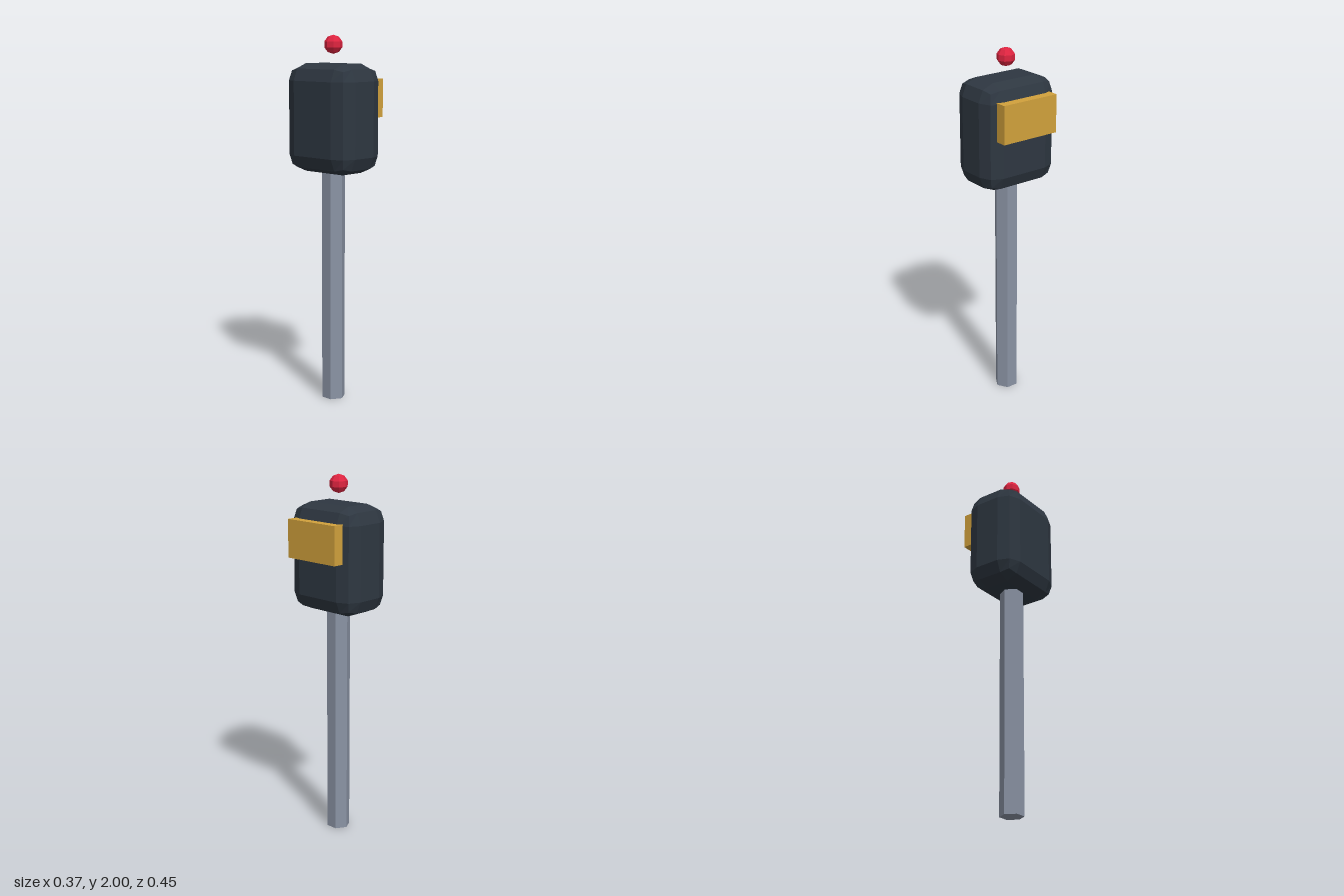
import * as THREE from 'three';
import { RoundedBoxGeometry } from 'three/addons/geometries/RoundedBoxGeometry.js';

const paint = (name, color) => {
  const m = new THREE.MeshStandardMaterial({ color });
  m.name = name;
  return m;
};

// Gives every face its own flat normal
function faceted(geometry) {
  const g = geometry.index ? geometry.toNonIndexed() : geometry;
  g.computeVertexNormals();
  return g;
}

export function createModel() {
  const group = new THREE.Group();
  group.name = 'postBox';
  const axis = -0.024; // the post stands off centre, balancing the side panel

  const add = (name, geometry, material, x, y, z = 0) => {
    const mesh = new THREE.Mesh(faceted(geometry), material);
    mesh.name = name;
    mesh.position.set(x, y, z);
    group.add(mesh);
  };

  // Hexagonal post, running up into the housing
  add('post', new THREE.CylinderGeometry(0.065, 0.065, 1.32, 6), paint('steel grey', 0x8a93a4), axis, 0.66);

  // Housing with chamfered edges and corners
  add('housing', new RoundedBoxGeometry(0.322, 0.58, 0.454, 1, 0.09), paint('dark slate', 0x2e3741), axis, 1.56);

  // Panel on the left side
  add('sidePanel', new THREE.BoxGeometry(0.084, 0.206, 0.338), paint('amber', 0xd1a13c), 0.142, 1.666);

  // Beacon floating above the housing
  add('beacon', new THREE.SphereGeometry(0.05, 8, 5), paint('signal red', 0xde2440), axis, 1.95);

  return group;
}
